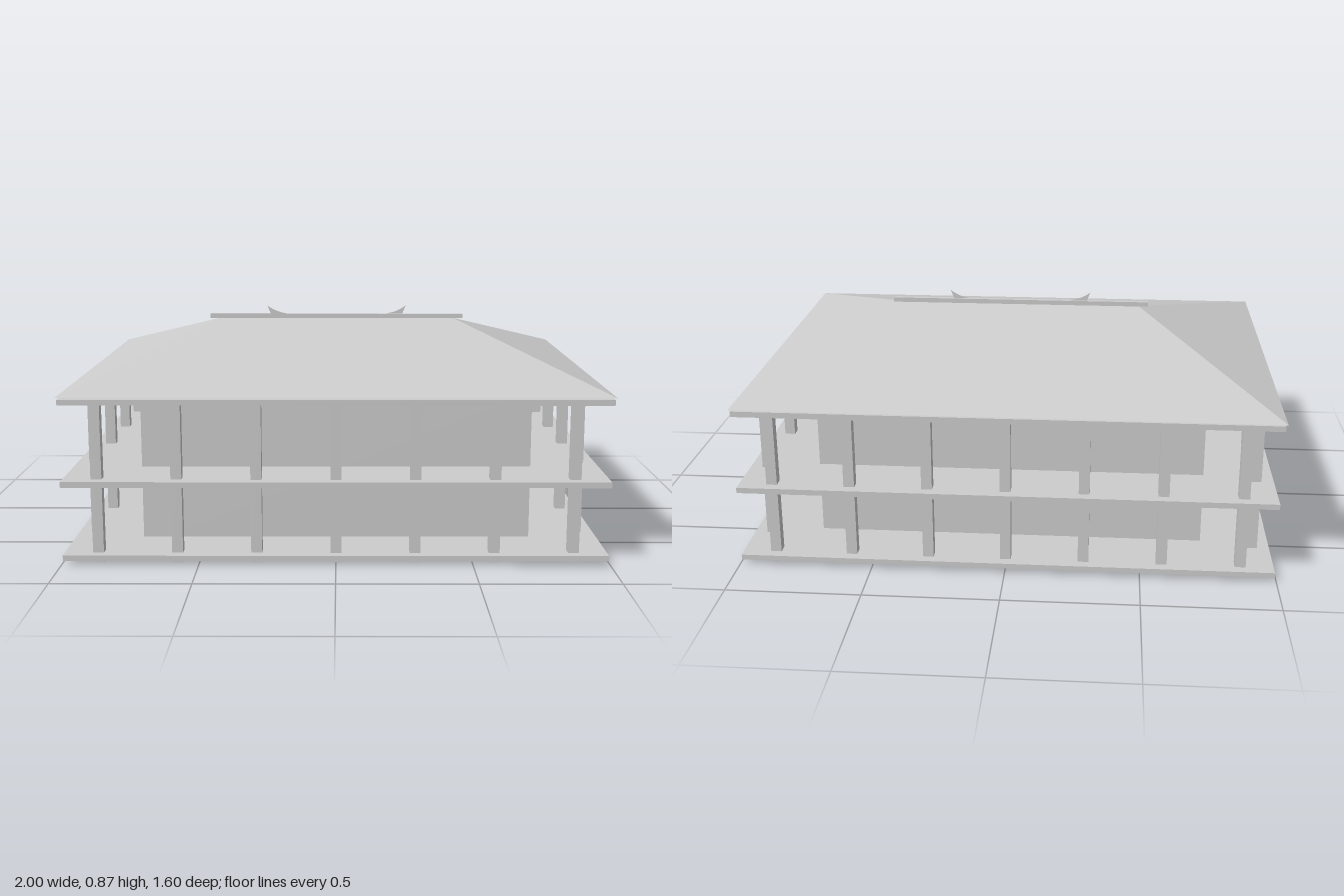
import * as THREE from 'three';

export function createModel() {
  const model = new THREE.Group();
  const grey = new THREE.MeshStandardMaterial({ color: 0xcccccc });
  grey.name = 'plainGrey';
  const greySheet = new THREE.MeshStandardMaterial({ color: 0xcccccc, side: THREE.DoubleSide });
  greySheet.name = 'plainGreySheet';

  function add(name, geometry, material = grey, parent = model) {
    const mesh = new THREE.Mesh(geometry, material);
    mesh.name = name;
    parent.add(mesh);
    return mesh;
  }
  // Box centred on x and z, spanning y0 to y1
  function box(name, w, d, y0, y1, x = 0, z = 0, parent = model) {
    const mesh = add(name, new THREE.BoxGeometry(w, y1 - y0, d), grey, parent);
    mesh.position.set(x, (y0 + y1) / 2, z);
  }

  // Inner hall
  box('hallWalls', 1.47, 1.096, 0, 0.6);

  // Ground floor, gallery floor and ceiling
  box('groundFloor', 1.987, 1.588, 0.017, 0.037);
  box('galleryFloor', 1.987, 1.588, 0.291, 0.312);
  box('ceiling', 1.987, 1.588, 0.592, 0.613);

  // Square columns around the veranda
  const columns = new THREE.Group();
  columns.name = 'columns';
  model.add(columns);
  for (const side of [-1, 1]) {
    for (let i = -3; i <= 3; i++) {
      box('longSideColumn', 0.04, 0.04, 0, 0.6, i * 0.29, side * 0.736, columns);
    }
    for (let i = 0; i < 4; i++) {
      box('shortSideColumn', 0.04, 0.04, 0, 0.6, side * 0.927, 0.467 - i * 0.348, columns);
    }
  }

  // Hipped roof: four eave corners and two ridge ends
  const eave = 0.62, ridge = 0.816;
  const roof = new THREE.BufferGeometry();
  roof.setAttribute('position', new THREE.Float32BufferAttribute([
    -1, eave, 0.8, 1, eave, 0.8, 1, eave, -0.8, -1, eave, -0.8,
    -0.48, ridge, 0, 0.48, ridge, 0,
  ], 3));
  roof.setIndex([0, 1, 5, 0, 5, 4, 1, 2, 5, 2, 3, 4, 2, 4, 5, 3, 0, 4, 0, 3, 2, 0, 2, 1]);
  const flatRoof = roof.toNonIndexed();
  flatRoof.computeVertexNormals();
  add('roof', flatRoof);

  // Ridge beam
  box('ridgeBeam', 1.042, 0.02, 0.815, 0.833);

  // Thin curved horns on the ridge, tips pointing outward
  for (const side of [-1, 1]) {
    const horn = new THREE.Shape();
    horn.moveTo(side * 0.195, 0.832);
    horn.quadraticCurveTo(side * 0.25, 0.838, side * 0.286, 0.867);
    horn.lineTo(side * 0.272, 0.832);
    horn.closePath();
    add('ridgeHorn', new THREE.ShapeGeometry(horn, 8), greySheet);
  }

  return model;
}
